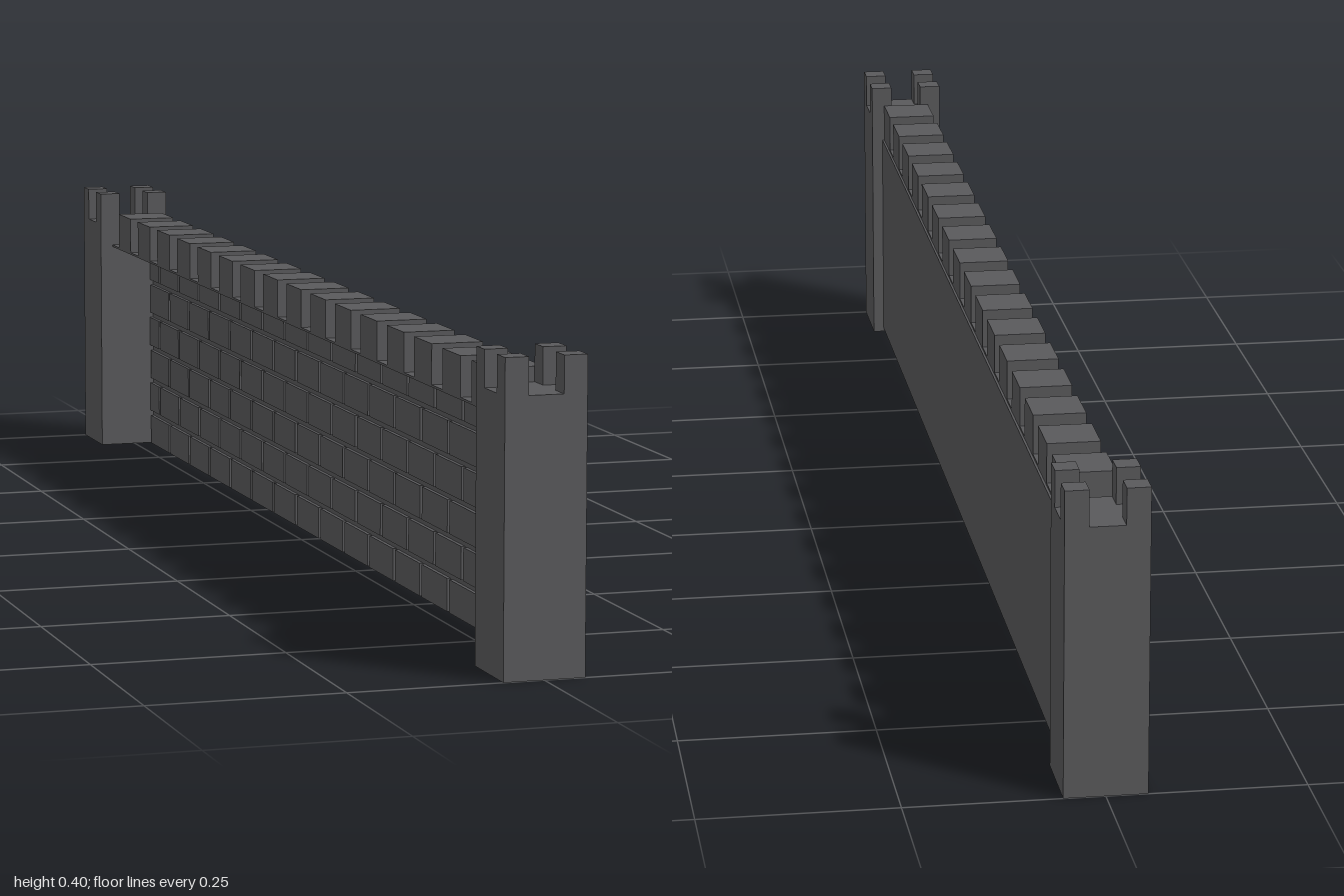
import * as THREE from 'three';

const stone = new THREE.MeshStandardMaterial({ color: 0x59595b, side: THREE.DoubleSide });
stone.name = 'dark stone';

// Box given by its minimum and maximum corners; optionally without its underside
function block(name, [x0, y0, z0], [x1, y1, z1], openBottom = false) {
  const g = new THREE.BoxGeometry(x1 - x0, y1 - y0, z1 - z0);
  g.translate((x0 + x1) / 2, (y0 + y1) / 2, (z0 + z1) / 2);
  if (openBottom) {
    const index = Array.from(g.index.array);
    index.splice(18, 6);
    g.setIndex(index);
    g.clearGroups();
  }
  const mesh = new THREE.Mesh(g, stone);
  mesh.name = name;
  return mesh;
}

const TOWER = 0.0525, INNER = 0.895, WALK = 0.315;

// Square hollow tower with four corner posts
function tower(name, z) {
  const group = new THREE.Group();
  group.name = name;
  group.add(block('towerBody', [-TOWER, 0, -TOWER], [TOWER, 0.348, TOWER], true));
  const post = 0.03;
  for (const x of [-TOWER, TOWER - post])
    for (const pz of [-TOWER, TOWER - post])
      group.add(block('cornerPost', [x, 0.348, pz], [x + post, 0.395, pz + post], true));
  group.position.z = z;
  return group;
}

// Running-bond courses on the inner face of the wall
function brickwork() {
  const group = new THREE.Group();
  group.name = 'brickwork';
  const rows = 6, rowH = 0.31 / rows, length = 0.112, gap = 0.008;
  for (let r = 0; r < rows; r++) {
    const start = -INNER - (r % 2) * length / 2;
    for (let z = start; z < INNER; z += length) {
      const a = Math.max(z + gap / 2, -INNER), b = Math.min(z + length - gap / 2, INNER);
      if (b - a < 0.01) continue;
      group.add(block('brick', [0.026, r * rowH, a], [0.031, (r + 1) * rowH - gap, b]));
    }
  }
  return group;
}

export function createModel() {
  const model = new THREE.Group();
  model.name = 'castleWall';

  model.add(tower('frontTower', 1 - TOWER), tower('backTower', TOWER - 1));

  // Thin outer wall with bricks behind it, and the walkway reaching inward
  model.add(block('outerWall', [0.031, 0.005, -INNER], [0.037, WALK - 0.003, INNER]));
  model.add(brickwork());
  model.add(block('walkway', [-0.034, WALK - 0.003, -INNER], [0.034, WALK, INNER]));

  // Merlons along the walkway
  for (let i = 0; i < 16; i++) {
    const z = 0.859 - i * 0.112;
    model.add(block('merlon', [-0.034, WALK, z - 0.035], [0.034, 0.367, z + 0.035], true));
  }
  return model;
}
